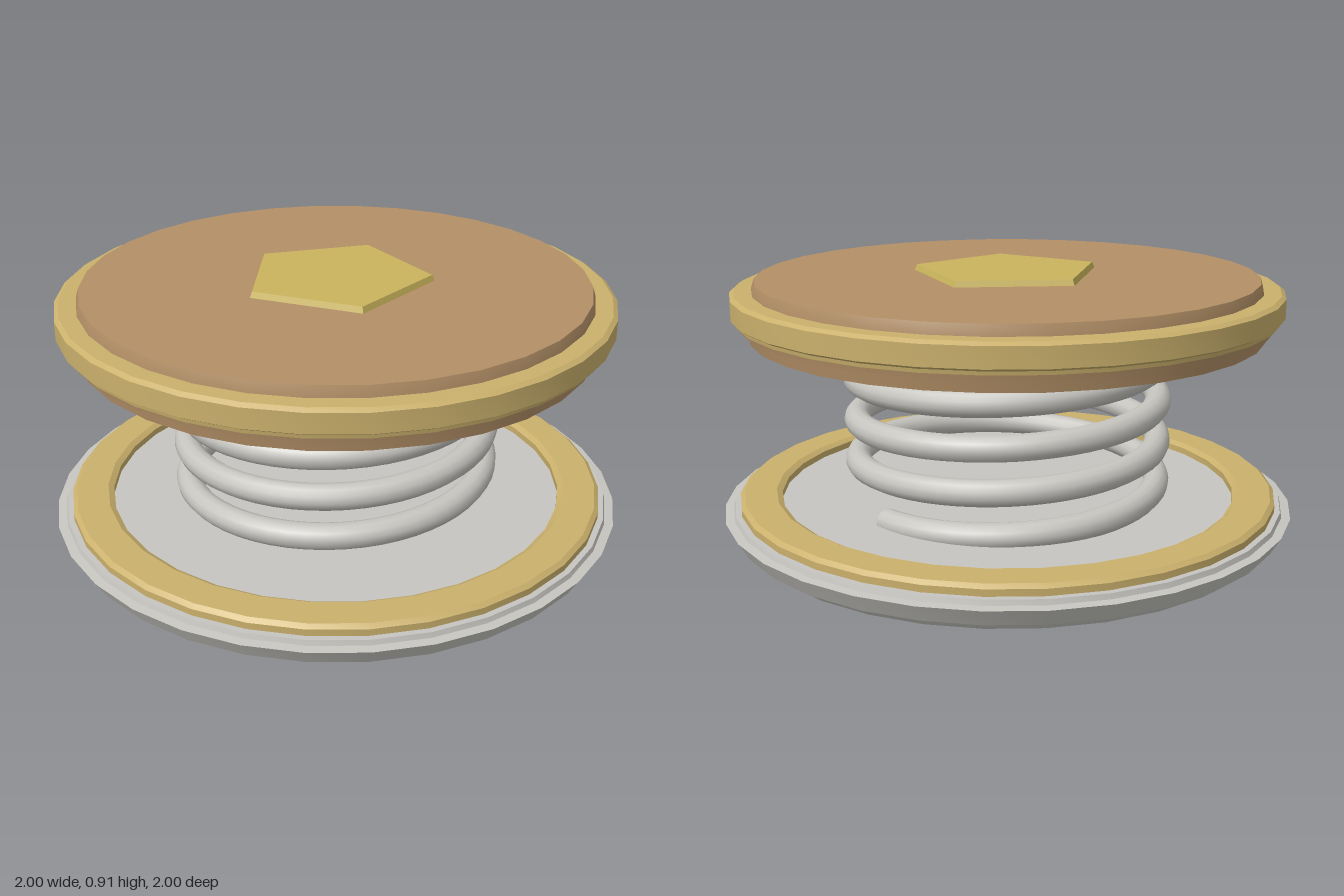
import * as THREE from 'three';
import { toCreasedNormals } from 'three/addons/utils/BufferGeometryUtils.js';

const material = (name, color) => {
  const m = new THREE.MeshStandardMaterial({ color });
  m.name = name;
  return m;
};

// Helix that rises as it turns from +x towards -z
class Helix extends THREE.Curve {
  constructor(radius, startY, pitch, turns) {
    super();
    Object.assign(this, { radius, startY, pitch, turns });
  }
  getPoint(t, target = new THREE.Vector3()) {
    const a = Math.PI / 2 + t * this.turns * Math.PI * 2;
    return target.set(
      Math.sin(a) * this.radius,
      this.startY + t * this.turns * this.pitch,
      Math.cos(a) * this.radius
    );
  }
}

export function createModel() {
  const model = new THREE.Group();
  model.name = 'springPad';
  const steel = material('steel grey', 0xc6c5c0);
  const gold = material('pale gold', 0xcab06c);
  const brown = material('tan brown', 0xb28f66);
  const yellow = material('emblem yellow', 0xc9b45c);

  const add = (name, geometry, mat, parent = model) => {
    const mesh = new THREE.Mesh(geometry, mat);
    mesh.name = name;
    parent.add(mesh);
    return mesh;
  };
  // Turned part from [radius, height] pairs, with sharp profile edges
  const turned = (name, profile, mat) => {
    const points = profile.map(([r, y]) => new THREE.Vector2(r, y));
    add(name, toCreasedNormals(new THREE.LatheGeometry(points, 32), 0.45), mat);
  };

  // Base dish and its raised trim
  turned('base', [
    [0, 0], [0.925, 0], [0.95, 0.028], [0.965, 0.03], [1, 0.09], [0.97, 0.093], [0.965, 0.11], [0, 0.11],
  ], steel);
  turned('baseTrim', [
    [0.945, 0.105], [0.945, 0.133], [0.93, 0.145], [0.82, 0.145], [0.8, 0.133], [0.8, 0.105],
  ], gold);

  // Coil spring with flat cut ends
  const spring = new THREE.Group();
  spring.name = 'spring';
  model.add(spring);
  const wire = 0.045;
  const helix = new Helix(0.53, 0.113, 0.147, 4.22);
  add('coil', new THREE.TubeGeometry(helix, 240, wire, 12, false), steel, spring);
  for (const [name, t, sign] of [['coilBottomEnd', 0, -1], ['coilTopEnd', 1, 1]]) {
    const cap = add(name, new THREE.CircleGeometry(wire, 12), steel, spring);
    const outward = helix.getTangent(t).multiplyScalar(sign);
    cap.position.copy(helix.getPoint(t));
    cap.quaternion.setFromUnitVectors(new THREE.Vector3(0, 0, 1), outward);
  }

  // Platform: stepped disc wrapped by a wide rim
  turned('platform', [
    [0, 0.7], [0.885, 0.7], [0.892, 0.742], [0.917, 0.745], [0.922, 0.77],
    [0.875, 0.78], [0.872, 0.86], [0.862, 0.893], [0, 0.893],
  ], brown);
  turned('platformRim', [
    [0.86, 0.762], [0.93, 0.762], [0.932, 0.774], [0.945, 0.782], [0.945, 0.848],
    [0.93, 0.858], [0.86, 0.858],
  ], gold);

  // Five-sided plate with its point towards the back
  const plate = new THREE.CylinderGeometry(0.325, 0.335, 0.022, 5);
  plate.rotateY(Math.PI).translate(0, 0.902, 0);
  add('pentagonPlate', toCreasedNormals(plate, 0.4), yellow);

  return model;
}
